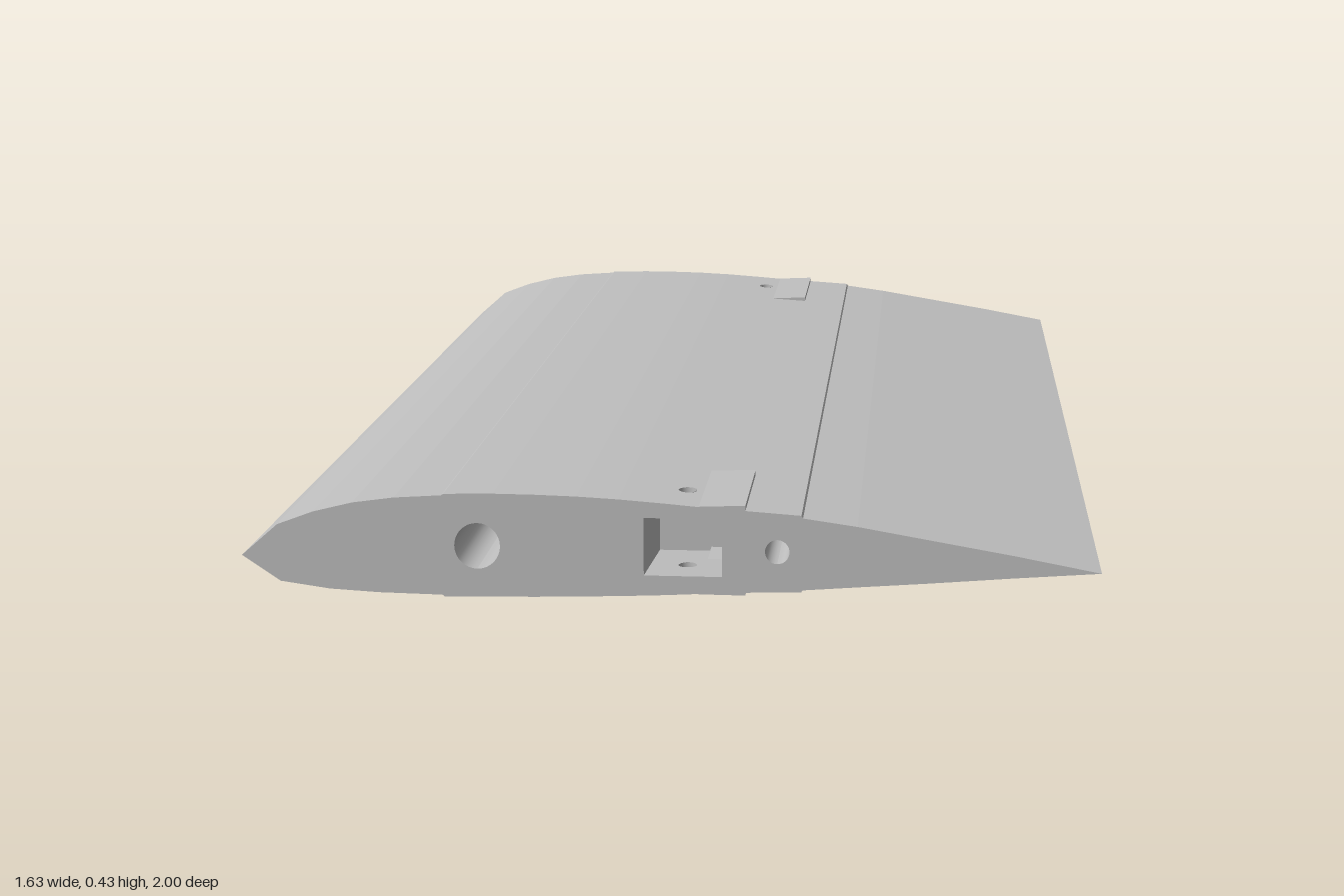
import * as THREE from 'three';

const grey = new THREE.MeshStandardMaterial({ color: 0xbcbcbc, side: THREE.DoubleSide });
grey.name = 'plain grey';

// Airfoil outline at the root: upper surface nose to tail, then lower surface back
const profile = [
  [-0.817, 0.073], [-0.747, 0.134], [-0.677, 0.16], [-0.6, 0.179], [-0.52, 0.19], [-0.428, 0.196],
  [-0.424, 0.199], [-0.33, 0.201], [-0.25, 0.2005], [-0.17, 0.1985], [-0.09, 0.1945], [0, 0.188],
  [0.06, 0.183], [0.15, 0.177], [0.255, 0.17], [0.258, 0.165], [0.36, 0.151], [0.49, 0.129],
  [0.65, 0.102], [0.812, 0.072],
  [0.65, 0.0595], [0.49, 0.046], [0.36, 0.036], [0.258, 0.028], [0.255, 0.024], [0.15, 0.021],
  [0.06, 0.0165], [0, 0.013], [-0.09, 0.009], [-0.25, 0.004], [-0.424, 0.001], [-0.428, 0.004],
  [-0.55, 0.006], [-0.646, 0.011], [-0.742, 0.024],
];
const rods = [[-0.36, 0.1, 0.044], [0.21, 0.1, 0.023]];
const socket = { x0: -0.042, x1: 0.106, y0: 0.05, y1: 0.16, depth: 0.24 };
const pin = { x: 0.03, z: 0.9, r: 0.018 };

// Taper and rise of the panel from the front end to the back end
function sweep(u, v, z) {
  const t = (1 - z) / 2;
  const s = 1 - 0.092 * t;
  return [u * s, v * s + 0.251 * t, z];
}

function sweepGeometry(geo) {
  const p = geo.attributes.position;
  for (let i = 0; i < p.count; i++) p.setXYZ(i, ...sweep(p.getX(i), p.getY(i), p.getZ(i)));
  geo.computeVertexNormals();
  return geo;
}

function quads(list) {
  const pos = [];
  for (const [a, b, c, d] of list) pos.push(...a, ...b, ...c, ...a, ...c, ...d);
  const geo = new THREE.BufferGeometry();
  geo.setAttribute('position', new THREE.Float32BufferAttribute(pos, 3));
  geo.computeVertexNormals();
  return geo;
}

function circlePath(x, y, r) {
  return new THREE.Path().absarc(x, y, r, 0, Math.PI * 2, true);
}

function polygon(points) {
  return new THREE.Shape(points.map(([x, y]) => new THREE.Vector2(x, y)));
}

function rectangle(x0, x1, y0, y1) {
  return polygon([[x0, y0], [x1, y0], [x1, y1], [x0, y1]]);
}

export function createModel() {
  const group = new THREE.Group();
  group.name = 'wingPanel';
  const add = (name, geo) => {
    const mesh = new THREE.Mesh(geo, grey);
    mesh.name = name;
    group.add(mesh);
  };

  // Skin, leaving open the four cells that hold the pin holes
  const stations = [1, 0.93, 0.87, -0.87, -0.93, -1];
  const skin = [];
  profile.forEach((a, i) => {
    const b = profile[(i + 1) % profile.length];
    const pinColumn = Math.min(a[0], b[0]) === 0 && Math.max(a[0], b[0]) === 0.06;
    for (let j = 0; j < 5; j++) {
      const z1 = stations[j], z0 = stations[j + 1];
      if (!pinColumn || (j !== 1 && j !== 3)) {
        skin.push([sweep(...a, z1), sweep(...b, z1), sweep(...b, z0), sweep(...a, z0)]);
        continue;
      }
      const cell = rectangle(0, 0.06, -z1, -z0);
      cell.holes.push(circlePath(pin.x, -(z0 + z1) / 2, pin.r));
      const geo = new THREE.ShapeGeometry(cell, 12);
      geo.rotateX(a[0] < b[0] ? -Math.PI / 2 : -Math.PI / 2);
      const p = geo.attributes.position;
      for (let k = 0; k < p.count; k++) {
        const f = (p.getX(k) - a[0]) / (b[0] - a[0]);
        p.setY(k, a[1] + f * (b[1] - a[1]));
      }
      if (a[0] > b[0]) geo.setIndex([...geo.index.array].reverse());
      add('pinHoleSkin', sweepGeometry(geo));
    }
  });
  add('skin', quads(skin));

  // Rod tubes running the full span
  for (const [x, y, r] of rods) {
    const tube = new THREE.CylinderGeometry(r, r, 2, 32, 1, true);
    tube.rotateX(Math.PI / 2).translate(x, y, 0);
    add('rodTube', sweepGeometry(tube));
  }

  for (const end of [1, -1]) {
    // End rib with rod and socket openings
    const rib = polygon(profile);
    for (const rod of rods) rib.holes.push(circlePath(...rod));
    rib.holes.push(rectangle(socket.x0, socket.x1, socket.y0, socket.y1));
    const ribGeo = new THREE.ShapeGeometry(rib, 16).translate(0, 0, end);
    if (end < 0) ribGeo.setIndex([...ribGeo.index.array].reverse());
    add('endRib', sweepGeometry(ribGeo));

    // Rectangular socket: level at the front, following the rise at the back
    const at = (u, v, z) => {
      const p = sweep(u, v, z);
      if (end > 0) p[1] = sweep(u, v, 1)[1];
      return p;
    };
    const { x0, x1, y0, y1, depth } = socket;
    const inner = end * (1 - depth);
    const wall = (x, z0 = end) => [at(x, y0, z0), at(x, y1, z0), at(x, y1, inner), at(x, y0, inner)];
    add('socketWalls', quads([
      wall(x0), wall(x1),
      [at(x0, y0, inner), at(x1, y0, inner), at(x1, y1, inner), at(x0, y1, inner)],
    ]));
    for (const y of [y0, y1]) {
      const sheet = rectangle(x0, x1, Math.min(end, inner), Math.max(end, inner));
      sheet.holes.push(circlePath(pin.x, end * pin.z, pin.r));
      const geo = new THREE.ShapeGeometry(sheet, 12);
      const p = geo.attributes.position;
      for (let k = 0; k < p.count; k++) p.setXYZ(k, ...at(p.getX(k), y, p.getY(k)));
      geo.computeVertexNormals();
      add(y === y0 ? 'socketFloor' : 'socketRoof', geo);
    }

    // Pin bores above and below the socket
    const drop = end > 0 ? 0.0125 : 0;
    for (const [low, high] of [[0.015, y0 - drop], [y1 - drop, 0.185]]) {
      const bore = new THREE.CylinderGeometry(pin.r, pin.r, high - low, 24, 1, true);
      bore.translate(pin.x, (low + high) / 2, end * pin.z);
      add('pinBore', sweepGeometry(bore));
    }

    // Raised corners of the socket block, above and below the skin
    const pads = [
      [[0.062, 0.17], [0.15, 0.17], [0.15, 0.187], [0.062, 0.1835]],
      [[0.062, 0.016], [0.15, 0.0155], [0.15, 0.03], [0.062, 0.03]],
    ];
    for (const pad of pads) {
      const geo = new THREE.ExtrudeGeometry(polygon(pad), { depth: 0.235, bevelEnabled: false });
      geo.translate(0, 0, end > 0 ? 0.765 : -1);
      add('socketPad', sweepGeometry(geo));
    }
  }
  return group;
}
